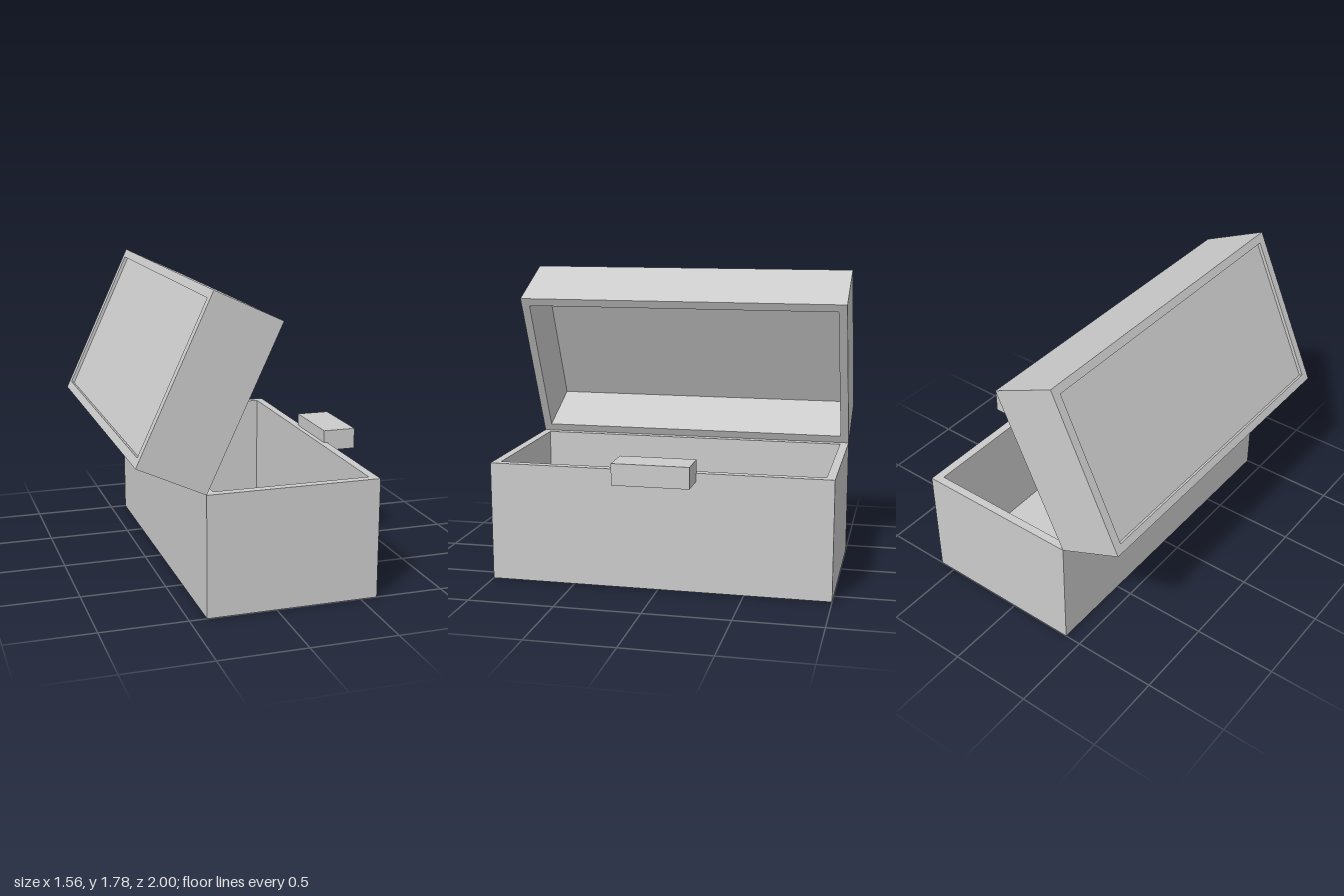
import * as THREE from 'three';

const material = new THREE.MeshStandardMaterial({ color: 0xcccccc, flatShading: true });
const WIDTH = 1, LENGTH = 2, WALL = 0.05, PANEL = 0.02;

function mesh(name, geometry) {
  const m = new THREE.Mesh(geometry, material);
  m.name = name;
  return m;
}

// Rectangle from x = inset to WIDTH - inset, centred along the length
function rectangle(Type, inset) {
  const a = inset, b = WIDTH - inset, h = LENGTH / 2 - inset;
  return new Type([[a, -h], [b, -h], [b, h], [a, h]].map(([x, y]) => new THREE.Vector2(x, y)));
}

// Four walls standing on y = 0, closed by a thin panel set between them at panelY
function openBox(name, height, panelY, panelName) {
  const group = new THREE.Group();
  group.name = name;
  const outline = rectangle(THREE.Shape, 0);
  outline.holes.push(rectangle(THREE.Path, WALL));
  const walls = new THREE.ExtrudeGeometry(outline, { depth: height, bevelEnabled: false });
  walls.rotateX(-Math.PI / 2);
  const panel = new THREE.BoxGeometry(WIDTH - 2 * WALL, PANEL, LENGTH - 2 * WALL);
  panel.translate(WIDTH / 2, panelY + PANEL / 2, 0);
  group.add(mesh(name + 'Walls', walls), mesh(panelName, panel));
  return group;
}

export function createModel() {
  const model = new THREE.Group();
  model.name = 'openChest';

  // Base with its floor at the bottom
  const base = openBox('base', 0.7, 0, 'baseFloor');
  base.position.x = -0.4;

  // Lid swung open about the hinge edge, its top panel slightly recessed
  const lid = openBox('lid', 0.42, 0.38, 'lidPanel');
  lid.position.set(-0.4, 0.7, 0);
  lid.rotation.z = THREE.MathUtils.degToRad(65);

  // Latch block on the rim opposite the hinge
  const latch = mesh('latch', new THREE.BoxGeometry(0.2, 0.125, 0.445));
  latch.position.set(0.68, 0.7125, 0);

  model.add(base, lid, latch);
  return model;
}
